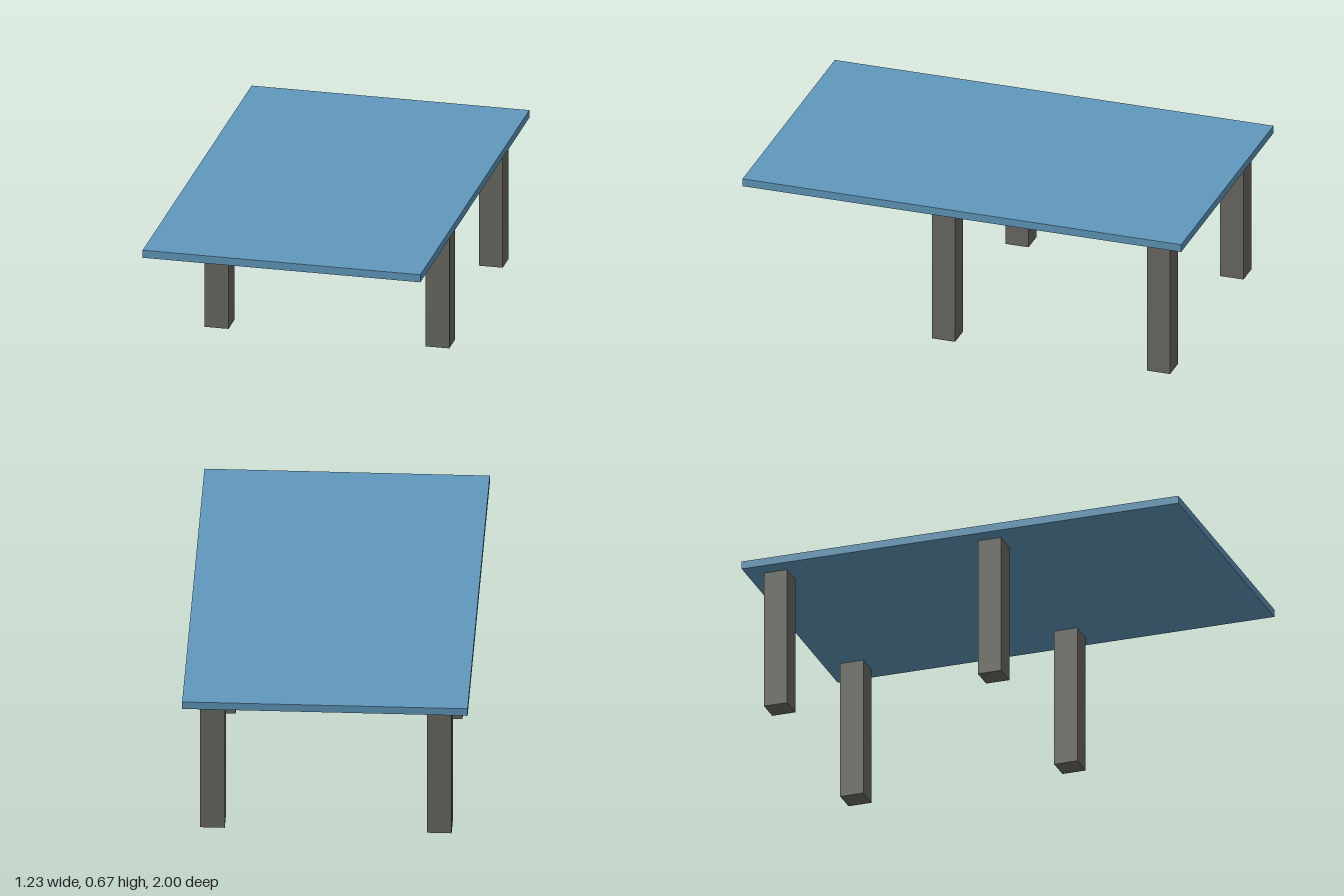
import * as THREE from 'three';

const blue = new THREE.MeshStandardMaterial({ color: 0x6099bd });
blue.name = 'blue top';
const grey = new THREE.MeshStandardMaterial({ color: 0x6b6a63 });
grey.name = 'warm grey';

const LEG_HEIGHT = 0.633;
const TOP_THICKNESS = 0.035;
const LEG_WIDTH = 0.106;

function box(name, size, position, material) {
  const mesh = new THREE.Mesh(new THREE.BoxGeometry(...size), material);
  mesh.name = name;
  mesh.position.set(...position);
  return mesh;
}

export function createModel() {
  const table = new THREE.Group();
  table.name = 'table';

  // Flat rectangular slab
  table.add(box('tableTop', [1.233, TOP_THICKNESS, 2],
    [0, LEG_HEIGHT + TOP_THICKNESS / 2, 0], blue));

  // Four square legs, set towards the back so the front overhangs
  for (const [side, x] of [['Left', 0.489], ['Right', -0.491]]) {
    for (const [end, z] of [['front', 0.109], ['back', -0.871]]) {
      table.add(box(`${end}${side}Leg`, [LEG_WIDTH, LEG_HEIGHT, LEG_WIDTH],
        [x, LEG_HEIGHT / 2, z], grey));
    }
  }
  return table;
}
